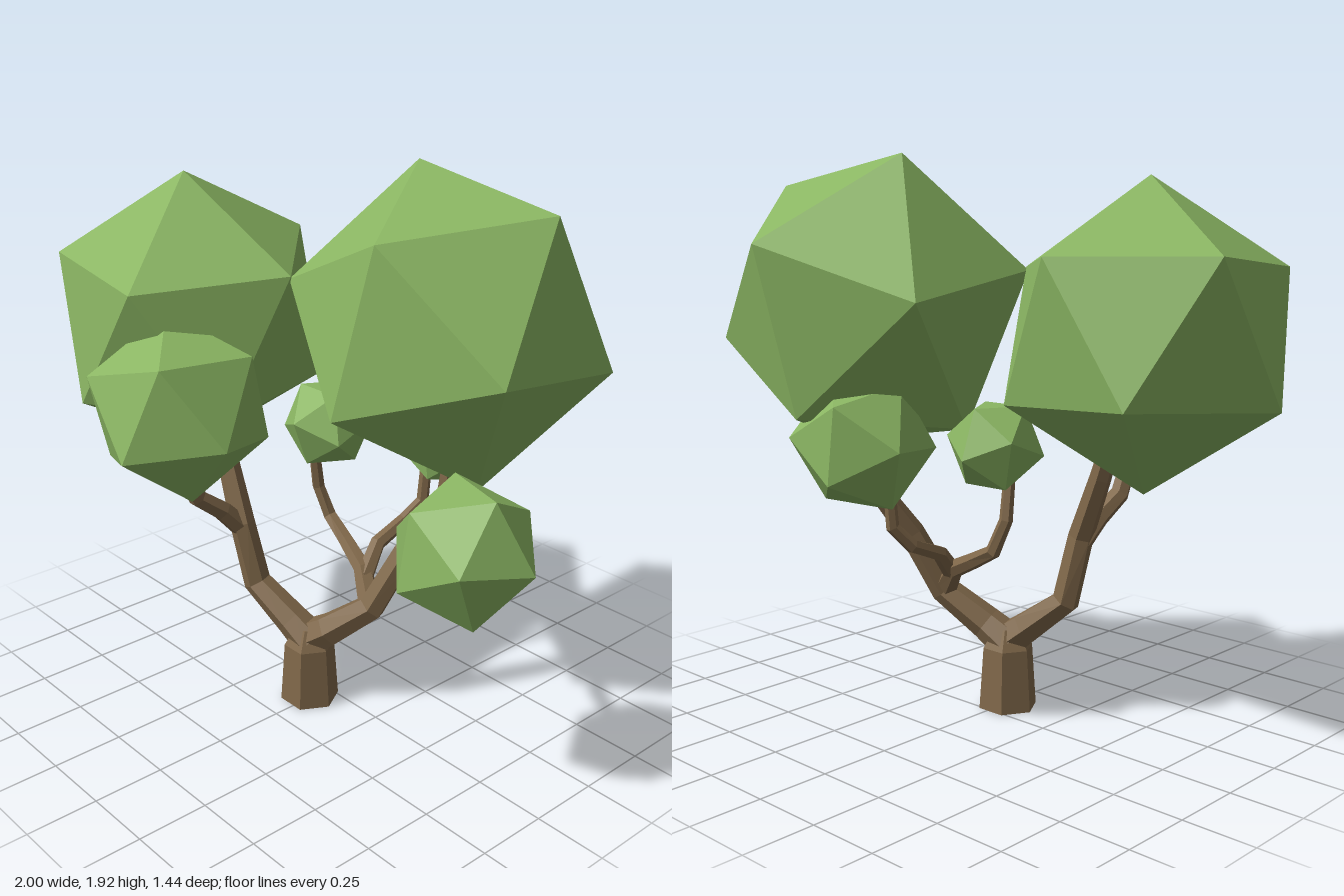
import * as THREE from 'three';

const bark = new THREE.MeshStandardMaterial({ color: 0x80684a, flatShading: true });
const leaf = new THREE.MeshStandardMaterial({ color: 0x8ab562, flatShading: true });

// Faceted, tapering limb: rings of six corners swept along [x, y, z, radius] points
function limb(name, points, sides = 6) {
  const centres = points.map(p => new THREE.Vector3(p[0], p[1], p[2]));
  const last = points.length - 1;
  const side = new THREE.Vector3(1, 0, 0);
  const positions = [];
  const index = [];
  centres.forEach((c, i) => {
    const before = c.clone().sub(centres[Math.max(i - 1, 0)]).normalize();
    const after = centres[Math.min(i + 1, last)].clone().sub(c).normalize();
    const along = before.add(after).normalize();
    // Carry the side direction forward so the limb does not twist
    side.addScaledVector(along, -side.dot(along)).normalize();
    const other = new THREE.Vector3().crossVectors(along, side);
    for (let k = 0; k < sides; k++) {
      const a = (k / sides) * Math.PI * 2;
      const p = c.clone()
        .addScaledVector(side, Math.cos(a) * points[i][3])
        .addScaledVector(other, Math.sin(a) * points[i][3]);
      positions.push(p.x, p.y, p.z);
      if (i < last) {
        const n = (k + 1) % sides;
        const r = i * sides;
        index.push(r + k, r + n, r + sides + n, r + k, r + sides + n, r + sides + k);
      }
    }
  });
  // End caps
  for (let k = 1; k < sides - 1; k++) {
    const e = last * sides;
    index.push(0, k + 1, k, e, e + k, e + k + 1);
  }
  const geometry = new THREE.BufferGeometry();
  geometry.setAttribute('position', new THREE.Float32BufferAttribute(positions, 3));
  geometry.setIndex(index);
  geometry.computeVertexNormals();
  const mesh = new THREE.Mesh(geometry, bark);
  mesh.name = name;
  return mesh;
}

// Icosahedral leaf clump, turned so two adjacent corners point along u and v
function clump(name, centre, radius, u, v) {
  const a = new THREE.Vector3(...u).normalize();
  const b = new THREE.Vector3(...v).normalize();
  const y = a.clone().add(b).normalize();
  const x = b.clone().sub(a).normalize();
  const z = new THREE.Vector3().crossVectors(x, y);
  const mesh = new THREE.Mesh(new THREE.IcosahedronGeometry(radius, 0), leaf);
  mesh.quaternion.setFromRotationMatrix(new THREE.Matrix4().makeBasis(x, y, z));
  mesh.position.set(...centre);
  mesh.name = name;
  return mesh;
}

export function createModel() {
  const tree = new THREE.Group();
  tree.name = 'tree';

  // Trunk and its two main boughs
  const wood = new THREE.Group();
  wood.name = 'wood';
  wood.add(
    limb('trunk', [[-0.015, 0, 0.08, 0.105], [-0.015, 0.22, 0.08, 0.09], [-0.015, 0.29, 0.08, 0.05]]),
    limb('rightBough', [
      [0.0, 0.23, 0.08, 0.07], [-0.08, 0.295, 0.105, 0.06], [-0.22, 0.41, 0.15, 0.05],
      [-0.26, 0.64, 0.18, 0.045], [-0.35, 0.86, 0.17, 0.038], [-0.42, 1.05, 0.16, 0.03],
    ]),
    limb('leftBough', [
      [-0.03, 0.23, 0.08, 0.07], [0.06, 0.295, 0.05, 0.06], [0.19, 0.41, -0.03, 0.05],
      [0.26, 0.62, -0.12, 0.045], [0.33, 0.81, -0.24, 0.038], [0.37, 1.05, -0.23, 0.03],
    ]),
    // Smaller branches
    limb('frontBranch', [
      [-0.26, 0.62, 0.18, 0.04], [-0.28, 0.7, 0.25, 0.037],
      [-0.3, 0.77, 0.34, 0.034], [-0.3, 0.95, 0.42, 0.028],
    ]),
    limb('leftBranch', [
      [0.33, 0.82, -0.23, 0.028], [0.39, 0.85, -0.12, 0.026],
      [0.49, 0.86, -0.02, 0.024], [0.66, 0.85, 0.08, 0.022],
    ]),
    limb('innerBranch', [
      [0.18, 0.42, -0.03, 0.042], [0.1, 0.51, -0.07, 0.034], [-0.02, 0.565, -0.1, 0.029],
      [-0.13, 0.62, -0.12, 0.026], [-0.17, 0.73, -0.1, 0.023], [-0.16, 0.9, -0.07, 0.02],
    ]),
    limb('backBranch', [
      [0.12, 0.49, -0.06, 0.033], [0.09, 0.58, -0.15, 0.028], [0.09, 0.63, -0.28, 0.025],
      [0.12, 0.7, -0.34, 0.023], [0.12, 0.9, -0.36, 0.02],
    ]),
  );

  // Leaf clumps
  const foliage = new THREE.Group();
  foliage.name = 'foliage';
  foliage.add(
    clump('rightCrown', [-0.545, 1.345, 0.15], 0.505, [0.025, 0.505, 0.04], [0.455, 0.205, -0.065]),
    clump('leftCrown', [0.325, 1.422, -0.225], 0.54, [-0.205, 0.495, -0.055], [0.355, 0.4, -0.085]),
    clump('frontClump', [-0.26, 1.137, 0.427], 0.318, [0.16, 0.208, 0.181], [0.31, -0.057, 0.043]),
    clump('leftClump', [0.763, 0.9, 0.14], 0.239, [0.232, -0.02, -0.053], [0.117, 0.205, 0.01]),
    clump('backClump', [0.17, 0.99, -0.42], 0.24, [-0.11, -0.21, 0.02], [0.13, -0.21, -0.06]),
    clump('innerClump', [-0.14, 0.98, -0.12], 0.165, [-0.15, 0.03, -0.08], [0.0, 0.13, -0.1]),
  );

  tree.add(wood, foliage);
  return tree;
}
